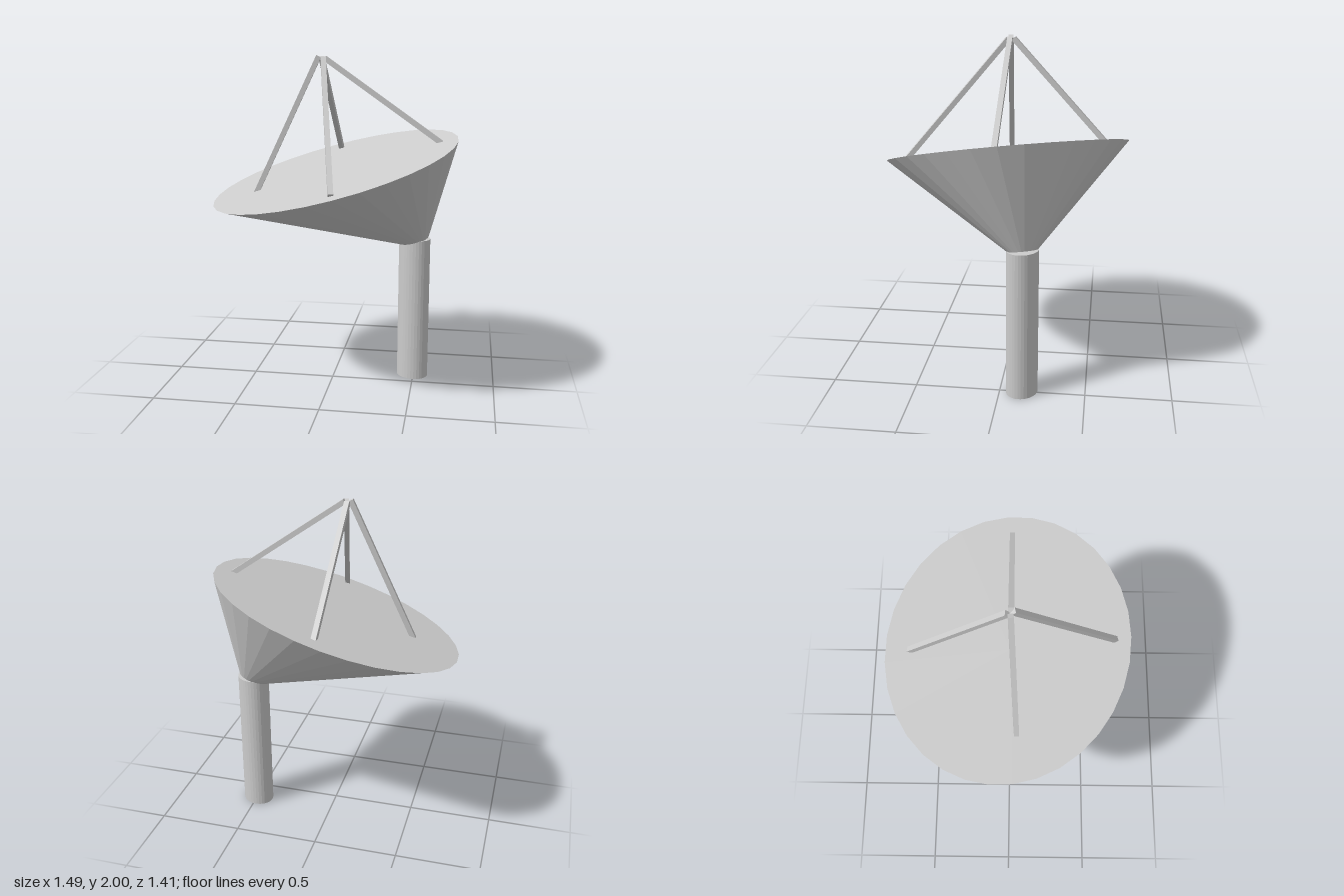
import * as THREE from 'three';

const material = new THREE.MeshStandardMaterial({ color: 0xcccccc, flatShading: true });

// Slightly oval, skewed section; 'tilt' leans it into the plane of the dish.
function ovalPoint(x, z, tilt) {
  const px = 0.745 * x;
  const pz = 0.705 * (z * Math.cos(0.115) + x * Math.sin(0.115));
  return new THREE.Vector3(px, tilt * (0.282 * px - 0.126 * pz), pz);
}

// Solid running between two oval ends with the given centres and scales.
function ovalSolid(name, bottom, bottomScale, top, topScale, tilt) {
  const geometry = new THREE.CylinderGeometry(
    topScale, bottomScale, 1, 32, 1, false, -0.05).toNonIndexed();
  const pos = geometry.attributes.position;
  for (let i = 0; i < pos.count; i++) {
    const centre = bottom.clone().lerp(top, pos.getY(i) + 0.5);
    const p = ovalPoint(pos.getX(i), pos.getZ(i), tilt).add(centre);
    pos.setXYZ(i, p.x, p.y, p.z);
  }
  geometry.computeVertexNormals();
  const mesh = new THREE.Mesh(geometry, material);
  mesh.name = name;
  return mesh;
}

// Square bar from the dish face up to the focus, its foot sunk into the dish.
function strut(name, foot, tip) {
  const a = new THREE.Vector3(...foot);
  const b = new THREE.Vector3(...tip);
  a.addScaledVector(b.clone().sub(a).normalize(), -0.02);
  const mesh = new THREE.Mesh(new THREE.BoxGeometry(0.03, 0.03, a.distanceTo(b)), material);
  mesh.position.copy(a).add(b).multiplyScalar(0.5);
  mesh.lookAt(b);
  mesh.name = name;
  return mesh;
}

export function createModel() {
  const model = new THREE.Group();
  model.name = 'dishAntenna';
  const v = (x, y, z) => new THREE.Vector3(x, y, z);

  // Upright mast under the off-centre throat of the dish
  model.add(ovalSolid('mast', v(0.492, 0, -0.13), 0.13, v(0.492, 0.89, -0.13), 0.13, 0));

  // Leaning funnel-shaped dish with a flat face
  model.add(ovalSolid('dish', v(0.487, 0.882, -0.13), 0.122, v(0, 1.325, 0), 1, 1));

  // Four struts meeting above the dish
  const struts = new THREE.Group();
  struts.name = 'feedStruts';
  struts.add(
    strut('rightStrut', [-0.46, 1.185, 0.04], [-0.083, 1.992, 0.003]),
    strut('leftStrut', [0.635, 1.503, 0.005], [-0.048, 1.982, 0.005]),
    strut('frontStrut', [0.085, 1.29, 0.6], [-0.055, 1.982, 0.015]),
    strut('backStrut', [-0.033, 1.39, -0.562], [-0.068, 1.982, -0.015]),
  );
  model.add(struts);
  return model;
}
